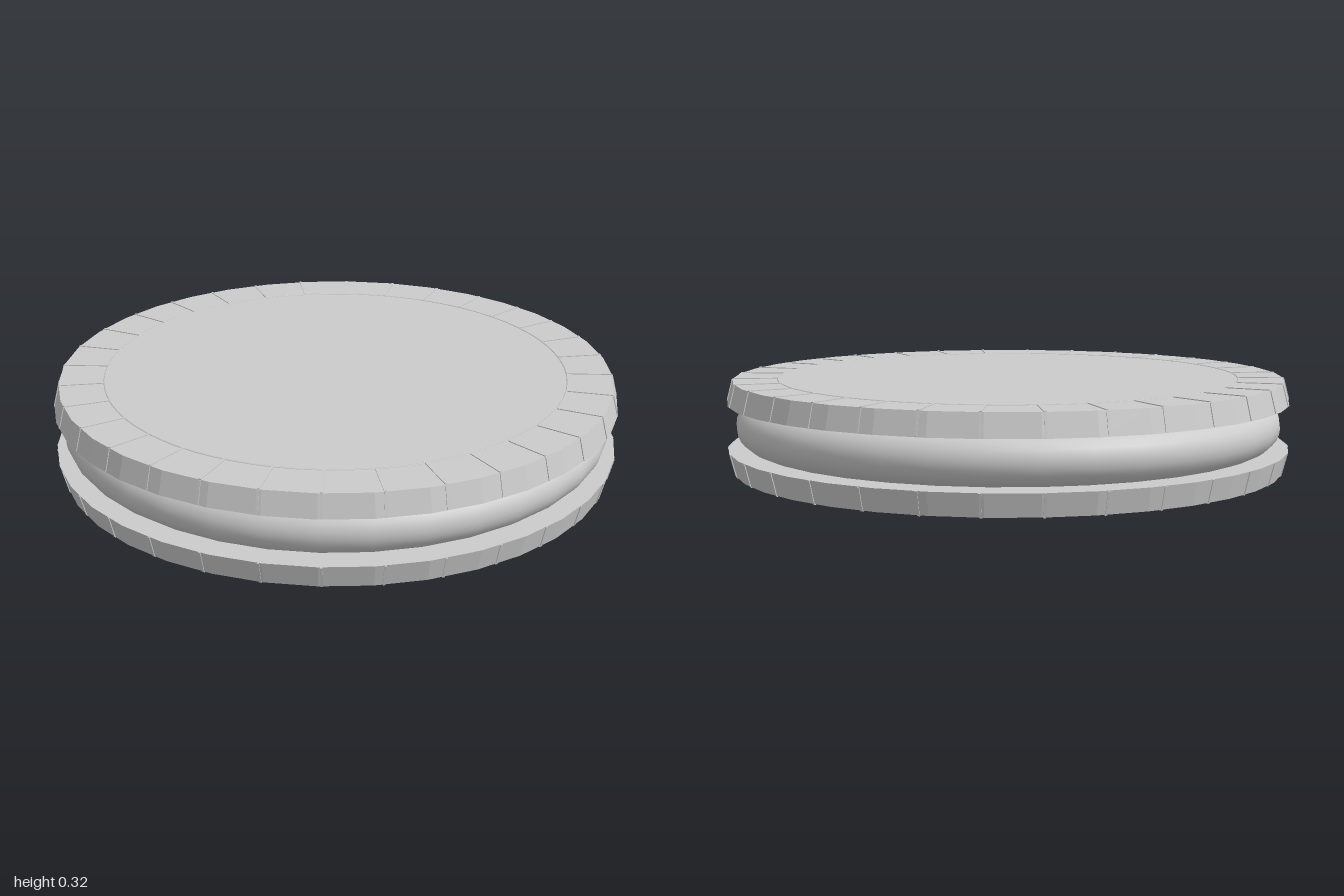
import * as THREE from 'three';

const SIDES = 36, RIDGES = 32;
const R_OUT = 1, R_FACE = 0.98, THICK = 0.078, RING = 0.82;

const flat = new THREE.MeshStandardMaterial({ color: 0xcccccc, flatShading: true });
const smooth = new THREE.MeshStandardMaterial({ color: 0xcccccc });

function add(parent, name, geometry, material) {
  const mesh = new THREE.Mesh(geometry, material);
  mesh.name = name;
  parent.add(mesh);
  return mesh;
}

// Distance factor from the axis to the faceted rim at a given angle
function facet(angle) {
  const step = (Math.PI * 2) / SIDES;
  const local = ((angle % step) + step) % step;
  return Math.cos(step / 2) / Math.cos(local - step / 2);
}

// One wafer: inner face at y = 0, decorated outer face at y = THICK
function makeWafer(name) {
  const wafer = new THREE.Group();
  wafer.name = name;
  const disc = add(wafer, 'disc', new THREE.CylinderGeometry(R_FACE, R_OUT, THICK, SIDES), flat);
  disc.position.y = THICK / 2;

  // Low circular ridge
  const ring = add(wafer, 'ringRidge', new THREE.TorusGeometry(RING, 0.004, 6, 72), smooth);
  ring.rotation.x = Math.PI / 2;
  ring.position.y = THICK - 0.001;

  // Low spokes between the ring and the rim, continuing down the side
  const lean = Math.atan2(R_OUT - R_FACE, THICK);
  for (let i = 0; i < RIDGES; i++) {
    const angle = ((i + 0.5) / RIDGES) * Math.PI * 2;
    const rim = R_FACE * facet(angle);
    const spoke = new THREE.Group();
    spoke.name = 'spokeRidge';
    spoke.rotation.y = angle;
    const top = add(spoke, 'faceRidge', new THREE.BoxGeometry(0.008, 0.006, rim - RING), flat);
    top.position.set(0, THICK, (rim + RING) / 2);
    const side = add(spoke, 'rimRidge', new THREE.BoxGeometry(0.008, THICK, 0.006), flat);
    side.position.set(0, THICK / 2, (rim + R_OUT * facet(angle)) / 2);
    side.rotation.x = -lean;
    wafer.add(spoke);
  }
  return wafer;
}

export function createModel() {
  const model = new THREE.Group();
  model.name = 'sandwichBiscuit';

  const upper = makeWafer('upperWafer');
  upper.position.y = 0.244;
  const lower = makeWafer('lowerWafer');
  lower.rotation.x = Math.PI;
  lower.position.y = 0.081;
  model.add(upper, lower);

  // Filling with a rounded bulging edge
  const profile = [new THREE.Vector2(0, 0.079)];
  for (let i = 0; i <= 12; i++) {
    const a = -Math.PI / 2 + (Math.PI * i) / 12;
    profile.push(new THREE.Vector2(0.882 + 0.088 * Math.cos(a), 0.1625 + 0.0835 * Math.sin(a)));
  }
  profile.push(new THREE.Vector2(0, 0.246));
  add(model, 'filling', new THREE.LatheGeometry(profile, SIDES), smooth);

  return model;
}
